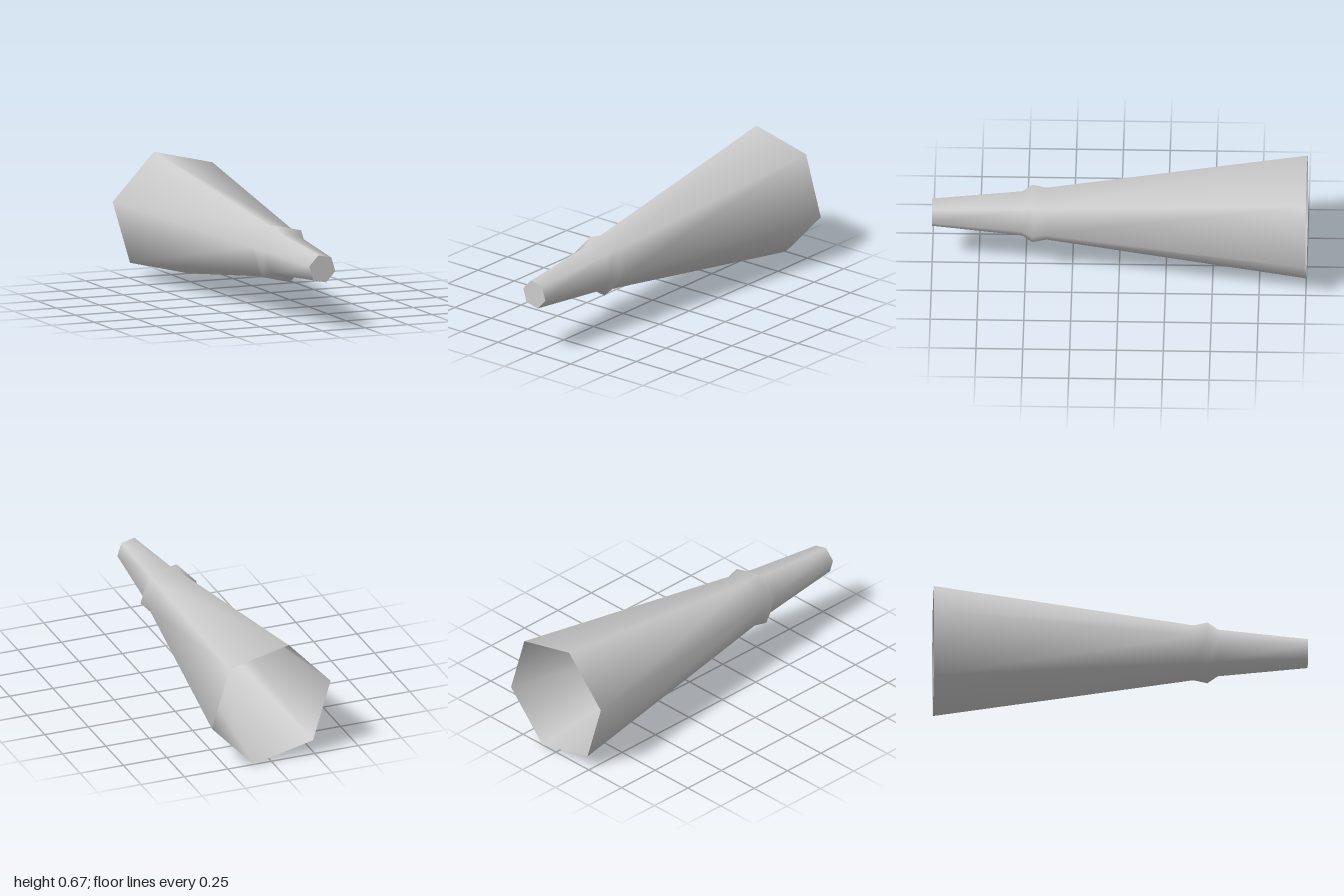
import * as THREE from 'three';

export function createModel() {
  const group = new THREE.Group();
  const grey = new THREE.MeshStandardMaterial({ color: 0xcccccc, side: THREE.DoubleSide });
  grey.name = 'light grey';

  const sides = 6;
  const twist = THREE.MathUtils.degToRad(-13.2); // roll of the hexagon about the long axis
  const centreY = 0.336;
  const tipRadius = 0.078;

  // Hollow hexagonal body: wide open back, collar, slim nozzle [radius, z]
  const profile = [
    [0.351, -1], [0.148, 0.39], [0.164, 0.465], [0.126, 0.52], [tipRadius, 1],
  ].map(([r, z]) => new THREE.Vector2(r, z));
  const bodyGeometry = new THREE.LatheGeometry(profile, sides, twist + Math.PI / 2);
  bodyGeometry.rotateX(Math.PI / 2);
  const body = new THREE.Mesh(bodyGeometry, grey);
  body.name = 'taperedBody';
  body.position.y = centreY;
  group.add(body);

  // Flat cap closing the narrow front end
  const cap = new THREE.Mesh(new THREE.CircleGeometry(tipRadius, sides, twist), grey);
  cap.name = 'tipCap';
  cap.position.set(0, centreY, 1);
  group.add(cap);

  return group;
}
